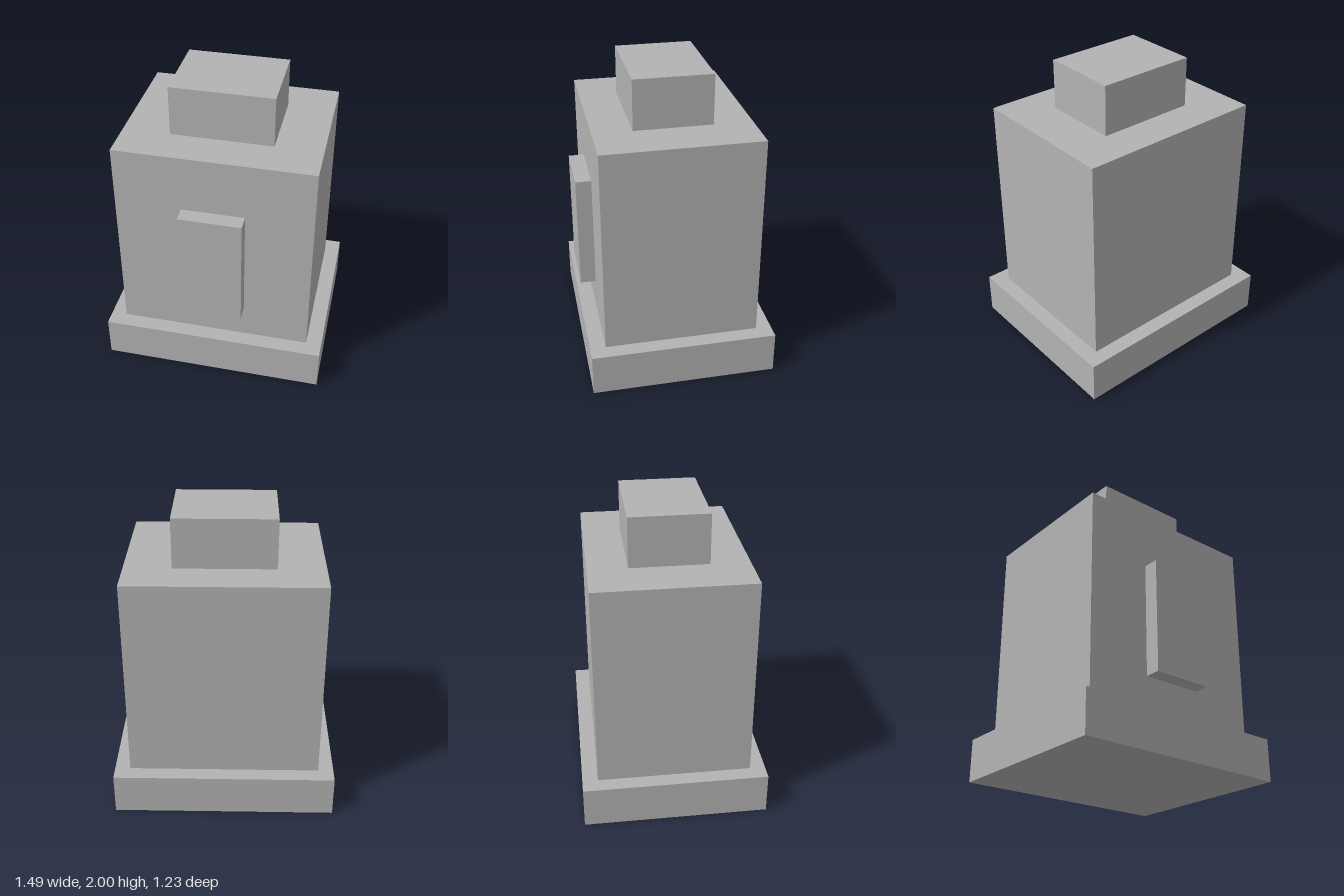
import * as THREE from 'three';

export function createModel() {
  const model = new THREE.Group();
  const grey = new THREE.MeshStandardMaterial({ color: 0xb3b3b3 });
  grey.name = 'grey';

  // Adds a block of the given width and depth between two heights
  function addBlock(name, width, depth, bottom, top, z = 0) {
    const block = new THREE.Mesh(new THREE.BoxGeometry(width, top - bottom, depth), grey);
    block.name = name;
    block.position.set(0, (bottom + top) / 2, z);
    model.add(block);
  }

  // Stacked plinth, body and cap
  addBlock('base', 1.486, 1.23, 0, 0.284);
  addBlock('body', 1.28, 1.024, 0.284, 1.668);
  addBlock('cap', 0.664, 0.514, 1.668, 2);

  // Raised panel on the front of the body
  addBlock('frontPanel', 0.41, 0.103, 0.517, 1.286, 0.5635);

  return model;
}
